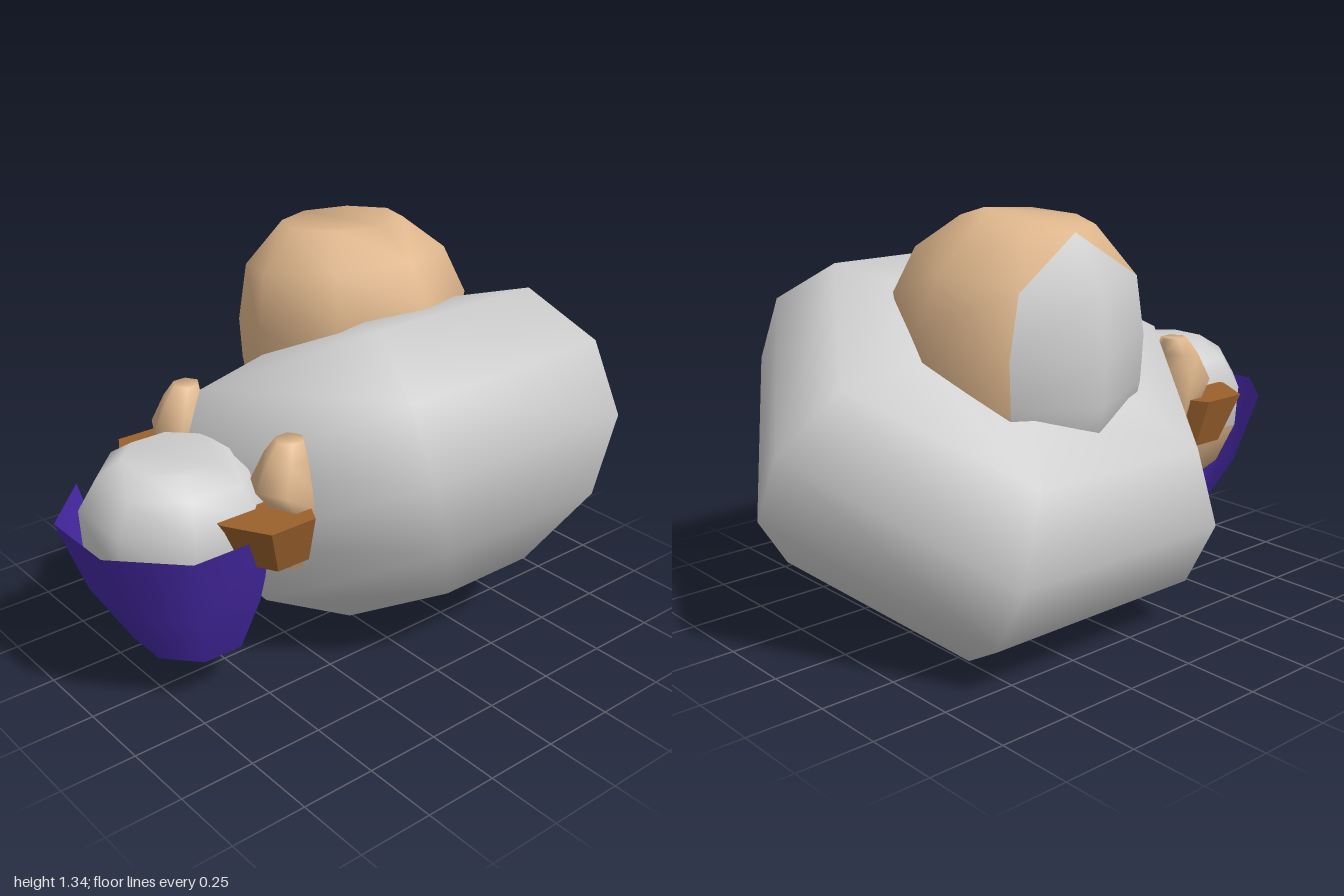
import * as THREE from 'three';
import { mergeVertices } from 'three/addons/utils/BufferGeometryUtils.js';

const material = (name, color, side = THREE.FrontSide) => {
  const m = new THREE.MeshStandardMaterial({ color, side });
  m.name = name;
  return m;
};

// Skin stacked rings, bottom to top. Ring: [y, centreX, centreZ, radiusX, radiusZ, tilt].
// pick(row, column, lowerTriangle) gives the material index of each triangle.
function loft(rings, sides, { start = 0, segments = sides, pick = () => 0, caps = true } = {}) {
  const pos = [];
  const faces = [[], []];
  const closed = segments === sides;
  const count = closed ? sides : segments + 1;
  for (const [y, cx, cz, rx, rz, tilt = 0] of rings) {
    for (let j = 0; j < count; j++) {
      const a = start + (j / sides) * Math.PI * 2;
      pos.push(cx + rx * Math.sin(a), y + tilt * Math.cos(a), cz + rz * Math.cos(a));
    }
  }
  for (let r = 0; r < rings.length - 1; r++) {
    for (let j = 0; j < segments; j++) {
      const k = (j + 1) % count;
      const b0 = r * count + j, b1 = r * count + k;
      const t0 = b0 + count, t1 = b1 + count;
      const mirrored = j >= sides / 2;
      faces[pick(r, j, true)].push(b0, b1, mirrored ? t0 : t1);
      if (mirrored) faces[pick(r, j, false)].push(b1, t1, t0);
      else faces[pick(r, j, false)].push(b0, t1, t0);
    }
  }
  if (closed && caps) {
    const top = (rings.length - 1) * count;
    for (let j = 1; j < count - 1; j++) {
      faces[pick(0, j, true)].push(0, j + 1, j);
      faces[pick(rings.length, j, false)].push(top, top + j, top + j + 1);
    }
  }
  const g = new THREE.BufferGeometry();
  g.setAttribute('position', new THREE.Float32BufferAttribute(pos, 3));
  g.setIndex(faces.flat());
  g.addGroup(0, faces[0].length, 0);
  g.addGroup(faces[0].length, faces[1].length, 1);
  g.computeVertexNormals();
  return g;
}

export function createModel() {
  const group = new THREE.Group();
  const grey = material('light grey', 0xd0d0d0);
  const tan = material('tan', 0xdeb68c);
  const brown = material('brown', 0x9a602c);
  const purple = material('purple', 0x4629a6, THREE.DoubleSide);
  const add = (name, geometry, mat) => {
    const mesh = new THREE.Mesh(geometry, mat);
    mesh.name = name;
    group.add(mesh);
    return mesh;
  };

  // Body: six-sided squashed ball with a flattened top, tilted back
  let body = new THREE.SphereGeometry(0.82, 6, 7);
  body.deleteAttribute('uv');
  body.deleteAttribute('normal');
  body.scale(1, 0.685, 1);
  const p = body.attributes.position;
  for (let i = 0; i < p.count; i++) {
    if (p.getY(i) > 0.45) p.setY(i, p.getY(i) > 0.53 ? 0.42 : 0.405);
  }
  body = mergeVertices(body);
  body.rotateX(THREE.MathUtils.degToRad(-28));
  body.translate(0.2, 0.598, 0);
  body.computeVertexNormals();
  add('body', body, grey);

  // Dome on the back, with a grey patch on its two rear columns
  const dome = loft([
    [0.68, 0.2, -0.2, 0.34, 0.32, 0.09],
    [0.9, 0.2, -0.2, 0.375, 0.365, 0.09],
    [1.04, 0.2, -0.19, 0.385, 0.385, 0.088],
    [1.207, 0.2, -0.225, 0.335, 0.335, 0.058],
    [1.333, 0.2, -0.235, 0.2, 0.205, 0.018],
  ], 8, {
    pick: (r, j, lower) => ((j === 3 || j === 4) && (r < 3 || (r === 3 && lower)) ? 1 : 0),
  });
  add('dome', dome, [tan, grey]);

  // Head: tan below, grey cap above
  const head = loft([
    [0.3, -0.64, 0, 0.14, 0.14],
    [0.38, -0.645, 0, 0.23, 0.23],
    [0.52, -0.65, 0, 0.295, 0.29],
    [0.66, -0.65, 0, 0.3, 0.3],
    [0.76, -0.65, 0, 0.24, 0.24],
    [0.81, -0.65, 0, 0.16, 0.16],
  ], 8, { start: Math.PI / 8, pick: (r) => (r < 2 ? 0 : 1) });
  add('head', head, [tan, grey]);

  // Open collar wrapped around the front and outer side of the head
  const collar = loft([
    [0.19, -0.64, 0.02, 0.18, 0.2],
    [0.39, -0.66, 0.01, 0.28, 0.3],
    [0.63, -0.68, 0, 0.345, 0.36],
  ], 8, { start: -Math.PI * 7 / 8, segments: 5 });
  collar.clearGroups();
  add('collar', collar, purple);

  for (const side of [1, -1]) {
    const label = side > 0 ? 'front' : 'rear';
    // Ear: small faceted teardrop beside the head
    const z = side * 0.275;
    const ear = loft([
      [0.46, -0.415, z, 0.03, 0.03],
      [0.58, -0.415, z, 0.045, 0.07],
      [0.68, -0.43, z, 0.065, 0.1],
      [0.75, -0.455, z, 0.095, 0.105],
      [0.84, -0.435, z, 0.065, 0.075],
      [0.89, -0.42, z, 0.045, 0.045],
    ], 6, { start: Math.PI / 6 });
    ear.clearGroups();
    add(label + 'Ear', ear, tan);

    // Cuff: shallow trapezoid cup under the ear, narrower at its base
    const plan = new THREE.Shape([
      [-0.68, 0.24], [-0.41, 0.24], [-0.41, 0.36], [-0.44, 0.42], [-0.6, 0.42], [-0.68, 0.28],
    ].map(([x, d]) => new THREE.Vector2(x, -side * d)));
    const cuff = new THREE.ExtrudeGeometry(plan, { depth: 0.16, bevelEnabled: false });
    cuff.rotateX(-Math.PI / 2);
    cuff.translate(0, 0.53, 0);
    const q = cuff.attributes.position;
    for (let i = 0; i < q.count; i++) {
      if (q.getY(i) < 0.6) {
        q.setX(i, -0.41 + (q.getX(i) + 0.41) * 0.72);
        q.setZ(i, side * 0.24 + (q.getZ(i) - side * 0.24) * 0.75);
      }
    }
    cuff.computeVertexNormals();
    add(label + 'Cuff', cuff, brown);
  }
  return group;
}
